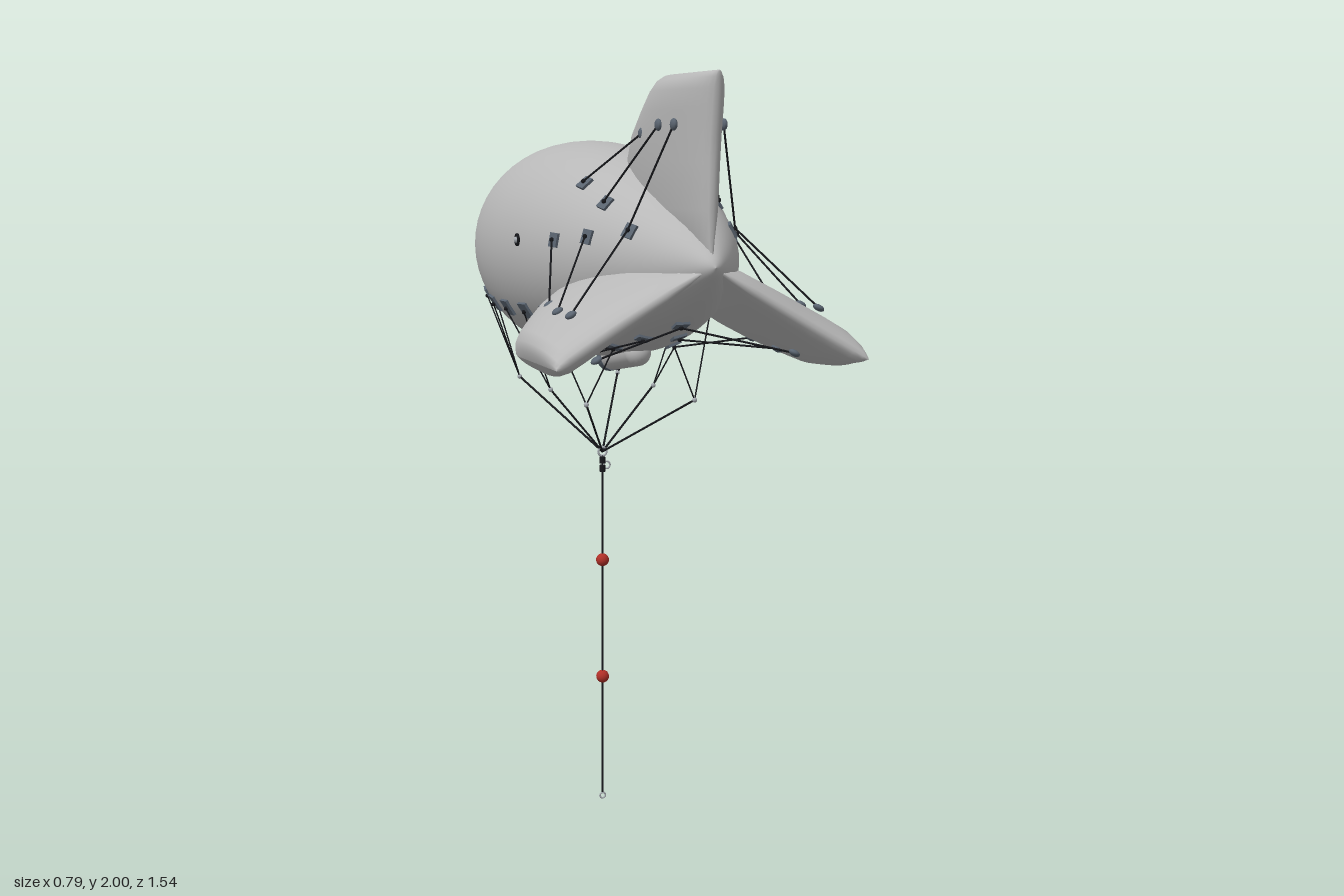
import * as THREE from 'three';

const AXIS_Y = 1.555;
const mat = (name, color, side = THREE.FrontSide) => {
  const m = new THREE.MeshStandardMaterial({ color, side });
  m.name = name;
  return m;
};

// Hull profile: radius, station along z (nose at -z)
const profile = new THREE.SplineCurve([
  [0, -0.757], [0.07, -0.74], [0.13, -0.7], [0.172, -0.65], [0.212, -0.58], [0.252, -0.48],
  [0.28, -0.35], [0.29, -0.2], [0.285, -0.05], [0.27, 0.1], [0.24, 0.26], [0.199, 0.39],
  [0.15, 0.53], [0.09, 0.65], [0.03, 0.735], [0, 0.757],
].map(([r, z]) => new THREE.Vector2(r, z))).getPoints(75);
profile.forEach((p) => { p.x = Math.max(p.x, 0); });

function hullRadius(z) {
  let i = 1;
  while (i < profile.length - 1 && profile[i].y < z) i++;
  const a = profile[i - 1], b = profile[i];
  return a.x + (b.x - a.x) * (z - a.y) / (b.y - a.y);
}

// Point on the hull at an angle around the axis, with a lift above the skin
function onHull(angle, z, lift = 0) {
  const r = hullRadius(z) + lift;
  return new THREE.Vector3(r * Math.cos(angle), AXIS_Y + r * Math.sin(angle), z);
}

// Inflated fin lofted from airfoil sections: [radius, lead z, trail z, half thickness]
function finGeometry() {
  const rows = [
    [0, 0.2, 0.735, 0.004], [0.06, 0.19, 0.735, 0.036], [0.13, 0.19, 0.738, 0.056],
    [0.24, 0.19, 0.743, 0.062], [0.3, 0.225, 0.748, 0.062], [0.36, 0.3, 0.756, 0.06],
    [0.405, 0.36, 0.762, 0.056], [0.43, 0.395, 0.767, 0.044], [0.442, 0.425, 0.769, 0.025],
    [0.445, 0.45, 0.77, 0],
  ];
  const n = 32, pos = [], index = [];
  rows.forEach(([r, lead, trail, t], i) => {
    for (let j = 0; j < n; j++) {
      const a = (j / n) * Math.PI * 2, u = (1 - Math.cos(a)) / 2;
      pos.push(Math.sin(a) * t * (1.1 - 0.2 * u), r, lead + u * (trail - lead));
      if (i === rows.length - 1) continue;
      const k = (j + 1) % n, p = i * n;
      index.push(p + j, p + n + j, p + k, p + k, p + n + j, p + n + k);
    }
  });
  const g = new THREE.BufferGeometry();
  g.setAttribute('position', new THREE.Float32BufferAttribute(pos, 3));
  g.setIndex(index);
  g.computeVertexNormals();
  return g;
}

export function createModel() {
  const model = new THREE.Group();
  model.name = 'tetheredBalloon';
  const fabric = mat('grey fabric', 0xb8b8b8);
  const slate = mat('slate patch', 0x5a6470);
  const red = mat('red', 0xb03028);
  const rope = mat('black rope', 0x17181c);
  const steel = mat('steel', 0xa8adb3);

  const add = (name, geometry, material, position) => {
    const m = new THREE.Mesh(geometry, material);
    m.name = name;
    if (position) m.position.copy(position);
    model.add(m);
    return m;
  };
  const V = (x, y, z) => new THREE.Vector3(x, y, z);
  const up = V(0, 1, 0);
  const line = (name, a, b, r = 0.0025, material = rope) => {
    const d = b.clone().sub(a);
    const m = add(name, new THREE.CylinderGeometry(r, r, d.length(), 6), material,
      a.clone().add(b).multiplyScalar(0.5));
    m.quaternion.setFromUnitVectors(up, d.normalize());
  };

  // Square patch lying on the hull with a small eyelet; returns the eyelet point
  const patch = (name, angle, z, w = 0.045, l = 0.052) => {
    const slope = (hullRadius(z + 0.02) - hullRadius(z - 0.02)) / 0.04;
    const n = V(Math.cos(angle), Math.sin(angle), -slope).normalize();
    const t = V(-Math.sin(angle), Math.cos(angle), 0);
    const p = onHull(angle, z, 0.002);
    const m = add(name, new THREE.BoxGeometry(w, l, 0.008), slate, p);
    m.quaternion.setFromRotationMatrix(new THREE.Matrix4().makeBasis(t, n.clone().cross(t), n));
    const eye = p.clone().addScaledVector(n, 0.007);
    add(name + 'Eyelet', new THREE.SphereGeometry(0.006, 8, 6), rope, eye);
    return eye;
  };

  // Hull
  add('hull', new THREE.LatheGeometry(profile, 48).rotateX(Math.PI / 2), fabric, V(0, AXIS_Y, 0));

  // Three fins, each braced on both sides
  const fin = finGeometry();
  const stays = [[0.64, 0.325, 0.53, 60], [0.535, 0.325, 0.39, 46.5], [0.4, 0.306, 0.26, 40.5]];
  const zAxis = V(0, 0, 1);
  const belly = {};
  for (let k = 0; k < 3; k++) {
    const turn = (k * Math.PI * 2) / 3;
    add('fin', fin, fabric, V(0, AXIS_Y, 0)).rotation.z = turn;
    for (const s of [-1, 1]) {
      stays.forEach(([fz, fr, hz, deg], i) => {
        const angle = Math.PI / 2 + turn - s * THREE.MathUtils.degToRad(deg);
        const eye = patch('finStayPatch', angle, hz, 0.036, 0.036);
        if (i === 2 && eye.y < 1.4) belly[Math.sign(eye.x)] = eye;
        const local = V(s * (i === 2 ? 0.056 : 0.062), fr, fz);
        const p = local.applyAxisAngle(zAxis, turn).add(V(0, AXIS_Y, 0));
        const button = add('finButton', new THREE.SphereGeometry(0.016, 12, 8), slate, p);
        button.scale.set(0.5, 0.9, 1);
        button.rotation.z = turn;
        line('finStay', eye, p);
      });
    }
  }

  // Nose battens and mooring ring
  for (let i = 0; i < 12; i++) {
    const a = ((i + 0.5) / 12) * Math.PI * 2;
    const pts = [-0.74, -0.725, -0.7, -0.675, -0.645].map((z) => onHull(a, z, 0.001));
    add('noseBatten', new THREE.TubeGeometry(new THREE.CatmullRomCurve3(pts), 10, 0.004, 6), slate);
  }
  add('noseRing', new THREE.TorusGeometry(0.008, 0.0025, 6, 16), steel, V(0, AXIS_Y, -0.762))
    .rotation.y = Math.PI / 2;

  // Rip panel along the top of the hull, with its red end
  const strip = (name, z0, z1, material) => {
    const pts = [];
    for (let i = 0; i <= 6; i++) {
      const z = z0 + ((z1 - z0) * i) / 6;
      pts.push(new THREE.Vector2(hullRadius(z) + 0.005, z));
    }
    add(name, new THREE.LatheGeometry(pts, 6, Math.PI - 0.095, 0.19).rotateX(Math.PI / 2),
      material, V(0, AXIS_Y, 0));
  };
  strip('ripPanel', -0.45, -0.235, slate);
  strip('ripPanelEnd', -0.475, -0.45, red);

  // Air scoop under the belly, open toward the nose
  const scoop = new THREE.Group();
  scoop.name = 'airScoop';
  const body = new THREE.Mesh(new THREE.CapsuleGeometry(0.035, 0.2, 8, 20).rotateX(Math.PI / 2), fabric);
  body.name = 'scoopBody';
  body.position.z = 0.1;
  const mouth = new THREE.Mesh(new THREE.CylinderGeometry(0.036, 0.036, 0.036, 20).rotateX(Math.PI / 2), slate);
  mouth.name = 'scoopMouth';
  mouth.position.z = -0.018;
  scoop.add(body, mouth);
  scoop.position.set(0, 1.272, 0.015);
  scoop.rotation.x = -0.16;
  model.add(scoop);

  // Side valves and rigging
  const join = V(0, 1.0, -0.08);
  for (const s of [-1, 1]) {
    const valveAngle = s > 0 ? 0.13 : Math.PI - 0.13;
    const valve = onHull(valveAngle, 0.055, 0.003);
    add('valveRing', new THREE.TorusGeometry(0.013, 0.004, 8, 20), rope, valve).rotation.y = Math.PI / 2;
    add('valve', new THREE.SphereGeometry(0.009, 10, 8), steel, valve);

    const eyes = [[0.15, 1.41], [0, 1.403], [-0.15, 1.4], [-0.3, 1.4], [-0.45, 1.412], [-0.61, 1.457]]
      .map(([z, y]) => {
        const a = Math.asin((y - AXIS_Y) / hullRadius(z));
        return patch('loadPatch', s > 0 ? a : Math.PI - a, z, 0.046, 0.058);
      });
    const groups = [[0.24, [belly[s], eyes[0]]], [-0.08, [eyes[1], eyes[2]]], [-0.39, eyes.slice(3)]];
    for (const [z, ends] of groups) {
      const node = V(s * 0.148, 1.178, z);
      add('rigKnot', new THREE.SphereGeometry(0.007, 8, 6), steel, node);
      line('bridle', join, node, 0.003);
      for (const end of ends) line('loadLine', node, end, 0.002);
    }
  }

  // Tether with confluence ring, swivel, floats and end ring
  add('confluenceRing', new THREE.TorusGeometry(0.012, 0.003, 8, 20), steel, join);
  add('swivelTop', new THREE.CylinderGeometry(0.008, 0.008, 0.018, 10), rope, V(0, 0.976, -0.08));
  add('swivelBottom', new THREE.CylinderGeometry(0.008, 0.008, 0.018, 10), rope, V(0, 0.953, -0.08));
  add('swivelShackle', new THREE.TorusGeometry(0.01, 0.0025, 6, 16), steel, V(0.012, 0.962, -0.08));
  line('tether', V(0, 0.02, -0.08), V(0, 0.99, -0.08), 0.003);
  for (const y of [0.36, 0.695]) add('tetherFloat', new THREE.SphereGeometry(0.018, 16, 12), red, V(0, y, -0.08));
  add('tetherEndRing', new THREE.TorusGeometry(0.008, 0.0025, 6, 16), steel, V(0, 0.0105, -0.08));

  return model;
}
